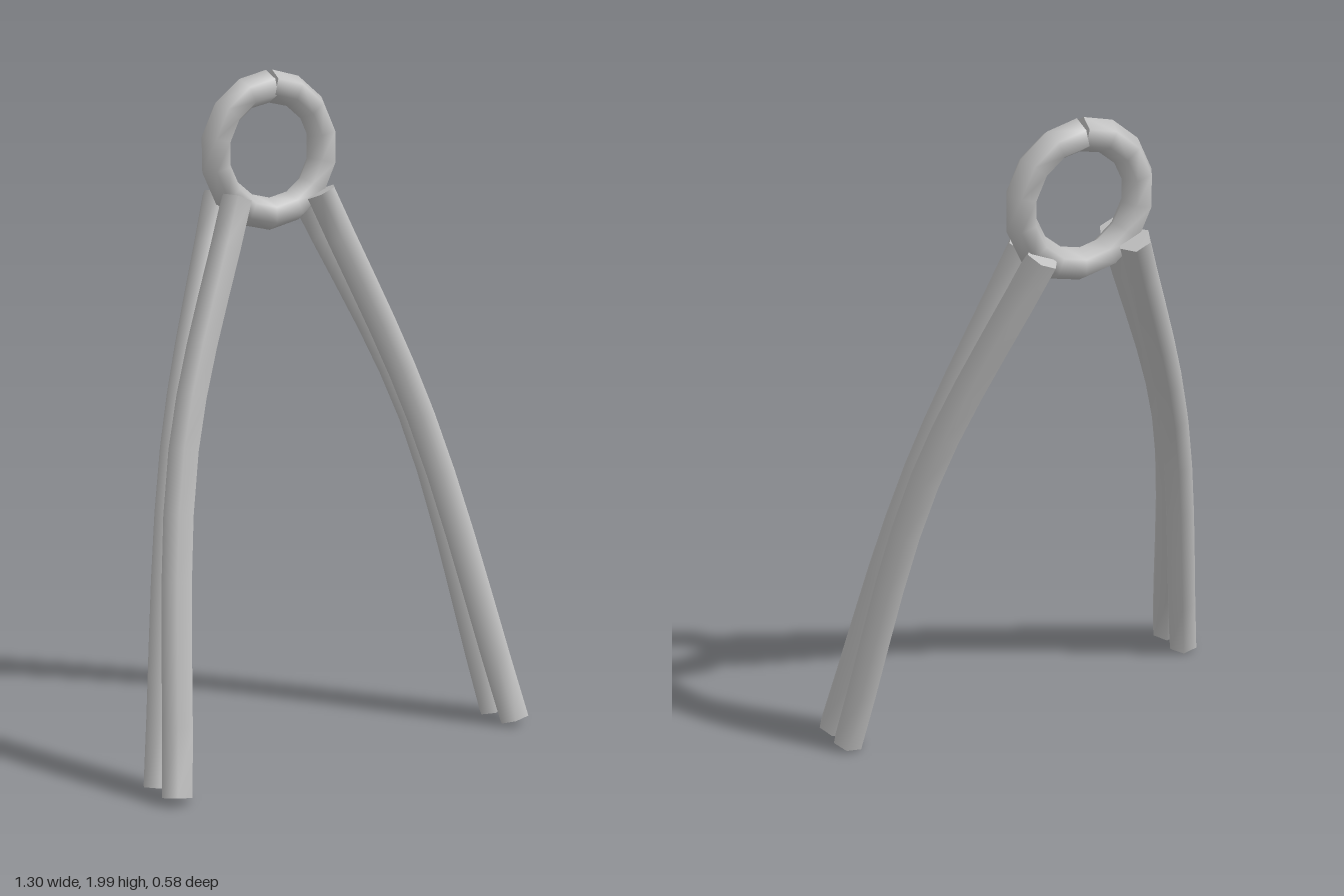
import * as THREE from 'three';

const SIDES = 6;
const Z = new THREE.Vector3(0, 0, 1);

// Capped six-sided rod swept along points; smooth sides, flat ends square to the path
function sweep(points, radius) {
  const pos = [], index = [], last = points.length - 1;
  const rings = points.map((p, i) => {
    const t = points[Math.min(i + 1, last)].clone().sub(points[Math.max(i - 1, 0)]).normalize();
    const u = new THREE.Vector3().crossVectors(Z, t).normalize();
    const w = new THREE.Vector3().crossVectors(t, u);
    return Array.from({ length: SIDES }, (_, j) => {
      const a = (j / SIDES) * Math.PI * 2;
      return p.clone().addScaledVector(u, radius * Math.cos(a)).addScaledVector(w, radius * Math.sin(a));
    });
  });
  rings.flat().forEach((v) => pos.push(v.x, v.y, v.z));
  for (let i = 0; i < last; i++) {
    for (let j = 0; j < SIDES; j++) {
      const a = i * SIDES + j, b = i * SIDES + ((j + 1) % SIDES);
      index.push(a, b, b + SIDES, a, b + SIDES, a + SIDES);
    }
  }
  // End caps with their own vertices so the rim stays sharp
  [[...rings[0]].reverse(), rings[last]].forEach((ring) => {
    const start = pos.length / 3;
    ring.forEach((v) => pos.push(v.x, v.y, v.z));
    for (let j = 1; j < SIDES - 1; j++) index.push(start, start + j, start + j + 1);
  });
  const geo = new THREE.BufferGeometry();
  geo.setAttribute('position', new THREE.Float32BufferAttribute(pos, 3));
  geo.setIndex(index);
  geo.computeVertexNormals();
  return geo;
}

export function createModel() {
  const group = new THREE.Group();
  const metal = new THREE.MeshStandardMaterial({ color: 0xc0c0c0 });
  metal.name = 'grey metal';

  const add = (name, points, radius) => {
    const mesh = new THREE.Mesh(sweep(points, radius), metal);
    mesh.name = name;
    group.add(mesh);
  };

  // Ring whose two ends meet at the top, leaving a small notch
  const ringPoints = Array.from({ length: 15 }, (_, i) => {
    const a = (i / 14) * Math.PI * 2;
    return new THREE.Vector3(0.188 * Math.sin(a), 1.765 + 0.188 * Math.cos(a), -0.197);
  });
  add('ring', ringPoints, 0.048);

  // Two bowed legs on each side, crossing close together halfway down
  const legs = [
    ['front', -0.145, -0.005, 0.247],
    ['back', -0.248, -0.05, 0.145],
  ];
  for (const [side, s] of [['Left', 1], ['Right', -1]]) {
    for (const [name, zTop, zMid, zFoot] of legs) {
      const path = new THREE.CatmullRomCurve3([
        new THREE.Vector3(s * 0.147, 1.637, zTop),
        new THREE.Vector3(s * 0.42, 0.95, zMid),
        new THREE.Vector3(s * 0.603, 0.022, zFoot),
      ]);
      add(`${name}${side}Leg`, path.getPoints(10), 0.049);
    }
  }
  return group;
}
